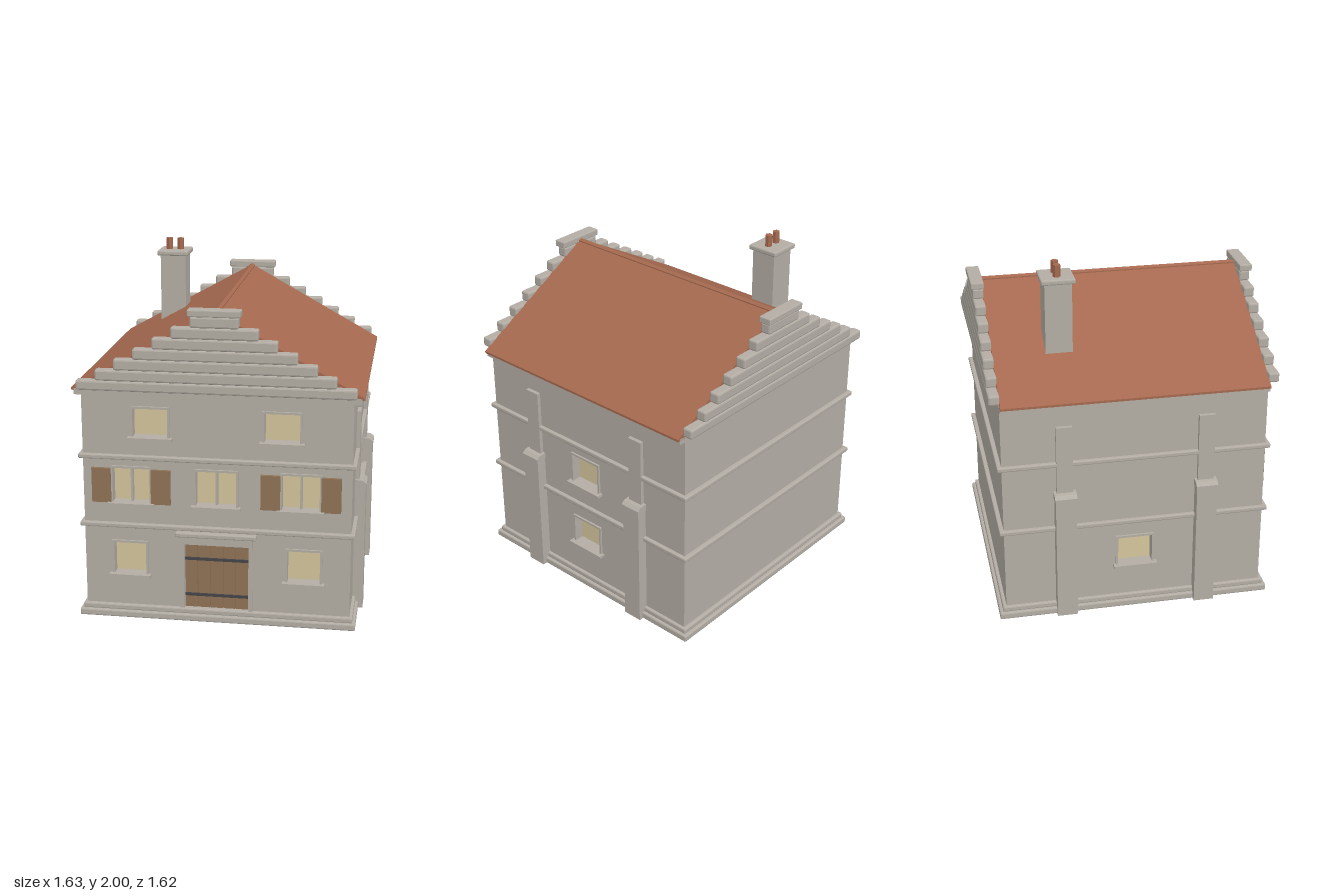
import * as THREE from 'three';
import { RoundedBoxGeometry } from 'three/addons/geometries/RoundedBoxGeometry.js';

const mat = (color) => new THREE.MeshStandardMaterial({ color, flatShading: true });
const STONE = mat(0xb3ada4), TILE = mat(0xa5694f), WOOD = mat(0x8f7355);
const PANE = mat(0xd4c59c), IRON = mat(0x454548);

function mesh(parent, name, geometry, material = STONE) {
  const m = new THREE.Mesh(geometry, material);
  m.name = name;
  parent.add(m);
  return m;
}

// Box given by its limits on each axis; bevel > 0 chamfers the edges
function box(parent, name, [x0, x1], [y0, y1], [z0, z1], material = STONE, bevel = 0) {
  const size = [x1 - x0, y1 - y0, z1 - z0];
  const g = bevel ? new RoundedBoxGeometry(...size, 1, bevel) : new THREE.BoxGeometry(...size);
  const m = mesh(parent, name, g, material);
  m.position.set((x0 + x1) / 2, (y0 + y1) / 2, (z0 + z1) / 2);
  return m;
}

const rect = (x0, x1, y0, y1, Type = THREE.Shape) => new Type([
  new THREE.Vector2(x0, y0), new THREE.Vector2(x1, y0),
  new THREE.Vector2(x1, y1), new THREE.Vector2(x0, y1)]);

// Wall with openings; its outer face lies on local z = 0
const THICK = 0.06, WALL_TOP = 1.34;
function wall(parent, name, half, openings) {
  const g = new THREE.Group();
  g.name = name;
  parent.add(g);
  const shape = rect(-half, half, 0.02, WALL_TOP);
  openings.forEach(([x0, x1, y0, y1]) => shape.holes.push(rect(x0, x1, y0, y1, THREE.Path)));
  mesh(g, name + 'Surface', new THREE.ExtrudeGeometry(shape, { depth: THICK, bevelEnabled: false }))
    .position.z = -THICK;
  return g;
}

// Recessed pane, thin surround, sill, and optional mullion and shutters
function windowUnit(parent, [x0, x1, y0, y1], { mullion = false, shutters = false } = {}) {
  const g = new THREE.Group();
  g.name = 'window';
  parent.add(g);
  const mid = (x0 + x1) / 2, rim = 0.012;
  box(g, 'pane', [x0, x1], [y0, y1], [-0.055, -0.045], PANE);
  const shape = rect(x0 - rim, x1 + rim, y0, y1 + rim);
  shape.holes.push(rect(x0, x1, y0 + 0.001, y1, THREE.Path));
  mesh(g, 'surround', new THREE.ExtrudeGeometry(shape, { depth: 0.012, bevelEnabled: false }));
  box(g, 'sill', [x0 - 0.027, x1 + 0.027], [y0 - 0.012, y0 + 0.004], [-0.045, 0.038]);
  if (mullion) box(g, 'mullion', [mid - 0.006, mid + 0.006], [y0, y1], [-0.046, -0.015]);
  if (shutters) for (const s of [-1, 1]) {
    const a = mid + s * 0.113, b = mid + s * 0.222;
    box(g, 'shutter', [Math.min(a, b), Math.max(a, b)], [0.685, 0.885], [0, 0.018], WOOD);
  }
}

function door(parent) {
  const g = new THREE.Group();
  g.name = 'door';
  parent.add(g);
  const planks = 5, w = 0.36 / planks;
  box(g, 'doorBacking', [-0.185, 0.185], [0.07, 0.46], [-0.05, -0.03], WOOD);
  for (let i = 0; i < planks; i++) {
    const x = -0.18 + i * w;
    box(g, 'doorPlank', [x + 0.002, x + w - 0.002], [0.07, 0.46], [-0.03, -0.012], WOOD);
  }
  for (const y of [0.148, 0.365]) box(g, 'doorStrap', [-0.18, 0.18], [y - 0.008, y + 0.008], [-0.012, -0.004], IRON);
  for (const s of [-1, 1]) box(g, 'doorJamb', s < 0 ? [-0.205, -0.182] : [0.182, 0.205], [0.07, 0.465], [-0.03, 0.015]);
  box(g, 'doorLintel', [-0.205, 0.205], [0.46, 0.505], [-0.03, 0.025]);
  box(g, 'doorCornice', [-0.228, 0.228], [0.505, 0.532], [-0.02, 0.04], STONE, 0.006);
}

// Two-stage buttress with a sloped shoulder, built on the +x side
function buttress(parent, side, z) {
  const g = new THREE.Group();
  g.name = 'buttress';
  box(g, 'buttressLower', [0.72, 0.81], [0, 0.745], [-0.058, 0.058]);
  box(g, 'buttressUpper', [0.72, 0.772], [0.7, 1.18], [-0.046, 0.046]);
  const cap = new THREE.Shape([[0.72, 0.745], [0.815, 0.745], [0.815, 0.76], [0.795, 0.778], [0.72, 0.785]]
    .map(([x, y]) => new THREE.Vector2(x, y)));
  mesh(g, 'buttressCap', new THREE.ExtrudeGeometry(cap, { depth: 0.124, bevelEnabled: false })).position.z = -0.062;
  g.position.z = z;
  if (side < 0) g.rotation.y = Math.PI;
  parent.add(g);
}

export function createModel() {
  const house = new THREE.Group();
  house.name = 'house';

  // Walls with their openings
  const upper = [[-0.462, -0.268, 1.07, 1.235], [0.268, 0.462, 1.07, 1.235]];
  const middle = [[-0.582, -0.374, 0.685, 0.888], [-0.112, 0.112, 0.685, 0.888], [0.366, 0.574, 0.685, 0.888]];
  const ground = [[-0.582, -0.4, 0.258, 0.447], [0.4, 0.582, 0.258, 0.447]];
  const front = wall(house, 'frontWall', 0.75, [...upper, ...middle, ...ground, [-0.185, 0.185, 0.07, 0.46]]);
  front.position.z = 0.745;
  [...upper, ...ground].forEach((o) => windowUnit(front, o));
  middle.forEach((o, i) => windowUnit(front, o, { mullion: true, shutters: i !== 1 }));
  door(front);

  const sideLow = [-0.098, 0.098, 0.27, 0.445], sideHigh = [-0.098, 0.098, 0.695, 0.875];
  for (const [s, name, openings] of [[1, 'leftWall', [sideLow, sideHigh]], [-1, 'rightWall', [sideLow]]]) {
    const w = wall(house, name, 0.745 - THICK, openings);
    w.rotation.y = s * Math.PI / 2;
    w.position.x = s * 0.75;
    openings.forEach((o) => windowUnit(w, o));
  }
  const back = wall(house, 'backWall', 0.75, []);
  back.rotation.y = Math.PI;
  back.position.z = -0.745;

  // Plinth and string courses wrapping the house
  box(house, 'plinthBase', [-0.785, 0.785], [0, 0.04], [-0.785, 0.785], STONE, 0.008);
  box(house, 'plinthTop', [-0.768, 0.768], [0.036, 0.07], [-0.766, 0.766], STONE, 0.008);
  for (const y of [0.552, 0.953]) {
    for (const s of [-1, 1]) {
      const lim = (a, b) => (s > 0 ? [a, b] : [-b, -a]);
      box(house, 'stringCourse', [-0.772, 0.772], [y - 0.013, y + 0.013], lim(0.72, 0.77), STONE, 0.006);
      box(house, 'stringCourse', lim(0.72, 0.772), [y - 0.013, y + 0.013], [-0.77, 0.77], STONE, 0.006);
    }
  }

  for (const s of [-1, 1]) for (const z of [-0.4, 0.4]) buttress(house, s, z);

  // Eaves course and its small brackets
  for (const s of [-1, 1]) {
    box(house, 'eavesCourse', s > 0 ? [0.74, 0.79] : [-0.79, -0.74], [1.3, 1.335], [-0.744, 0.744]);
    for (let i = -3; i <= 3; i++) {
      const b = mesh(house, 'eavesBracket', new THREE.CylinderGeometry(0.018, 0.018, 0.04, 8));
      b.rotation.z = Math.PI / 2;
      b.position.set(s * 0.765, 1.308, i * 0.215);
    }
  }

  // Roof prism and ridge tile
  const roof = new THREE.Shape([[-0.805, 1.325], [0.805, 1.325], [0.805, 1.338], [0, 1.785], [-0.805, 1.338]]
    .map(([x, y]) => new THREE.Vector2(x, y)));
  mesh(house, 'roof', new THREE.ExtrudeGeometry(roof, { depth: 1.488, bevelEnabled: false }), TILE).position.z = -0.744;
  const ridge = mesh(house, 'ridgeTile', new THREE.CylinderGeometry(0.02, 0.02, 1.488, 6), TILE);
  ridge.rotation.x = Math.PI / 2;
  ridge.position.y = 1.772;

  // Stepped gables: half width, bottom and top of each course
  const steps = [[0.765, 1.34, 1.396], [0.657, 1.396, 1.457], [0.553, 1.457, 1.519], [0.447, 1.519, 1.58],
    [0.34, 1.58, 1.642], [0.237, 1.642, 1.704], [0.132, 1.704, 1.766]];
  for (const s of [-1, 1]) {
    const lim = (a, b) => (s > 0 ? [a, b] : [-b, -a]);
    for (const [h, y0, y1] of steps) box(house, 'gableStep', [-h, h], [y0, y1], lim(0.74, 0.802), STONE, 0.01);
    box(house, 'gableCap', [-0.144, 0.144], [1.766, 1.805], lim(0.738, 0.812), STONE, 0.006);
  }

  // Chimney with cap and two pots
  box(house, 'chimneyStack', [-0.505, -0.352], [1.4, 1.905], [-0.452, -0.302]);
  box(house, 'chimneyCap', [-0.523, -0.334], [1.902, 1.932], [-0.472, -0.283], STONE, 0.008);
  for (const x of [-0.462, -0.394]) {
    mesh(house, 'chimneyPot', new THREE.CylinderGeometry(0.021, 0.021, 0.08, 6), TILE).position.set(x, 1.96, -0.378);
  }
  return house;
}
